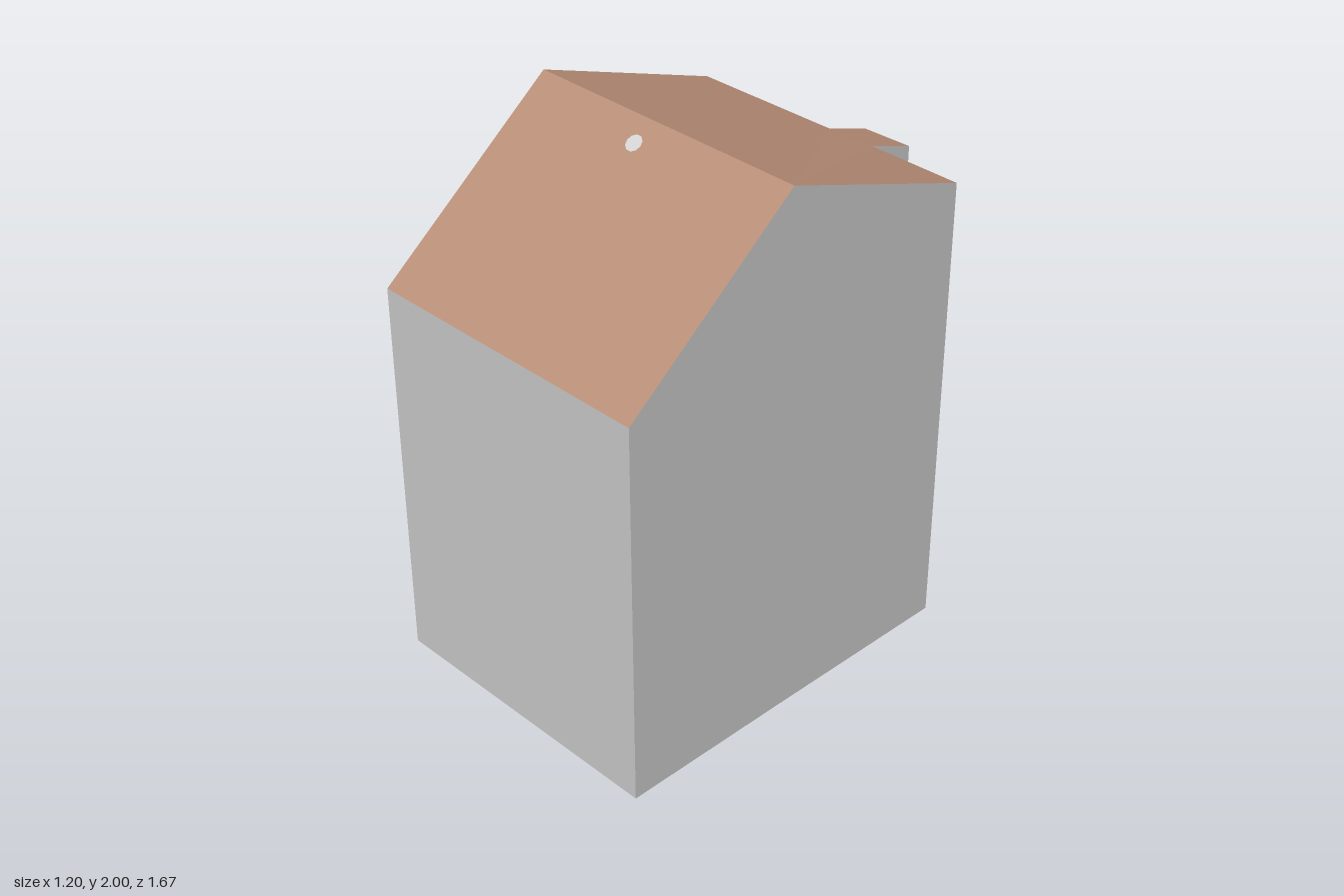
import * as THREE from 'three';

const wallGrey = new THREE.MeshStandardMaterial({ color: 0xc6c6c6 });
const roofClay = new THREE.MeshStandardMaterial({ color: 0xb88e77 });
const ventGrey = new THREE.MeshStandardMaterial({ color: 0xd2d2d2 });

// Plan corners as [x, roof height, z], clockwise seen from above
const backLeft = [-0.6, 1.74, -0.605];
const backRight = [0.537, 1.735, -0.665];
const frontRight = [0.597, 1.45, 0.77];
const frontLeft = [-0.538, 1.45, 0.83];
const ridgeRight = [0.567, 1.996, 0.095];
const ridgeLeft = [-0.567, 2, 0.143];
const annex = [
  [-0.015, 1.738, -0.635], [-0.027, 1.674, -0.822],
  [0.167, 1.674, -0.836], [0.175, 1.738, -0.647],
];
const outline = [backLeft, ...annex, backRight, ridgeRight, frontRight, frontLeft, ridgeLeft];

function facesToMesh(triangles, material, name) {
  const geometry = new THREE.BufferGeometry();
  geometry.setAttribute('position', new THREE.Float32BufferAttribute(triangles.flat(2), 3));
  geometry.computeVertexNormals();
  const mesh = new THREE.Mesh(geometry, material);
  mesh.name = name;
  return mesh;
}

// Fills a polygon so that it faces up (side = 1) or down (side = -1)
function panel(points, side, material, name) {
  const plan = points.map(([x, , z]) => new THREE.Vector2(x, z));
  const triangles = THREE.ShapeUtils.triangulateShape(plan, []).map((ids) => {
    const [a, b, c] = ids.map((i) => points[i]);
    const up = (b[2] - a[2]) * (c[0] - a[0]) - (b[0] - a[0]) * (c[2] - a[2]);
    return up * side > 0 ? [a, b, c] : [a, c, b];
  });
  return facesToMesh(triangles, material, name);
}

export function createModel() {
  const house = new THREE.Group();
  house.name = 'house';

  // Walls, one upright panel per outline edge
  const ground = ([x, , z]) => [x, 0, z];
  const walls = outline.flatMap((p, i) => {
    const q = outline[(i + 1) % outline.length];
    return [[ground(p), p, q], [ground(p), q, ground(q)]];
  });
  house.add(facesToMesh(walls, wallGrey, 'walls'));
  house.add(panel(outline.map(ground), -1, wallGrey, 'floor'));

  // Roof slopes, the back one running on over the annex
  house.add(panel([ridgeLeft, ridgeRight, frontRight, frontLeft], 1, roofClay, 'frontRoof'));
  house.add(panel([backLeft, ...annex, backRight, ridgeRight, ridgeLeft], 1, roofClay, 'backRoof'));

  // Small round vent lying on the front slope
  const eave = new THREE.Vector3(...frontLeft);
  const normal = new THREE.Vector3(...frontRight).sub(eave)
    .cross(new THREE.Vector3(...ridgeLeft).sub(eave)).normalize();
  const vent = new THREE.Mesh(new THREE.CircleGeometry(0.031, 10), ventGrey);
  vent.name = 'roofVent';
  const x = -0.05, z = 0.193;
  const y = eave.y - (normal.x * (x - eave.x) + normal.z * (z - eave.z)) / normal.y;
  vent.position.set(x, y, z).addScaledVector(normal, 0.004);
  vent.quaternion.setFromUnitVectors(new THREE.Vector3(0, 0, 1), normal);
  house.add(vent);

  return house;
}
